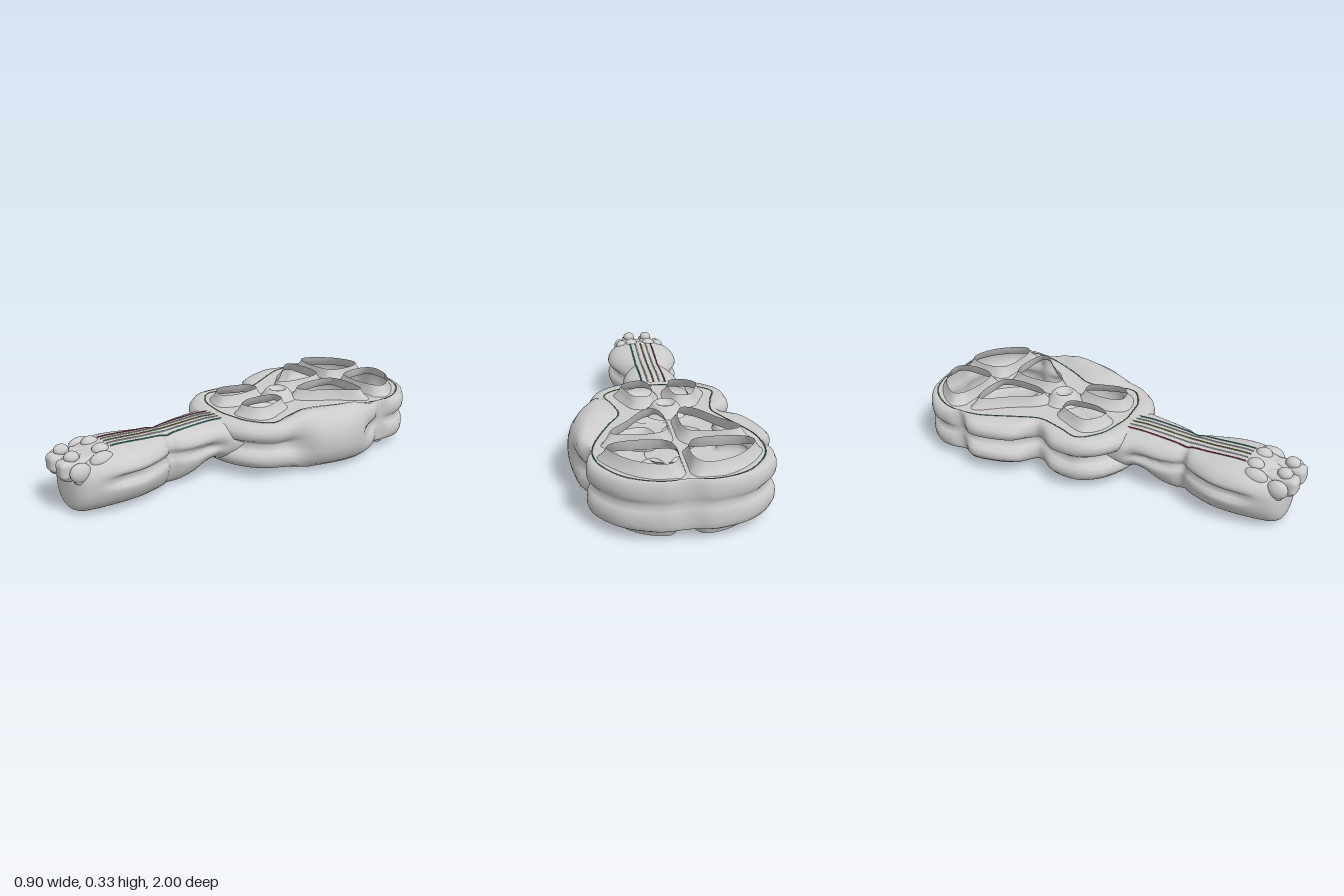
import * as THREE from 'three';
import { RoundedBoxGeometry } from 'three/addons/geometries/RoundedBoxGeometry.js';

const CX = -0.02, MID = 0.1625;
const V = (x, y, z) => new THREE.Vector3(x, y, z);
const { lerp, smoothstep, clamp } = THREE.MathUtils;
const grey = new THREE.MeshStandardMaterial({ color: 0xcccccc, side: THREE.DoubleSide });

function add(parent, name, geometry, material = grey) {
  const mesh = new THREE.Mesh(geometry, material);
  mesh.name = name;
  parent.add(mesh);
  return mesh;
}

// Skin a list of closed rings, each with the same number of points
function loft(rings) {
  const n = rings[0].length, index = [];
  for (let i = 0; i < rings.length - 1; i++) {
    for (let j = 0; j < n; j++) {
      const a = i * n + j, b = i * n + (j + 1) % n;
      index.push(a, a + n, b, b, a + n, b + n);
    }
  }
  const g = new THREE.BufferGeometry().setFromPoints(rings.flat());
  g.setIndex(index);
  g.computeVertexNormals();
  return g;
}

const ring = (pts, n) => {
  const c = new THREE.CatmullRomCurve3(pts.map(([x, z]) => V(x, 0, z)), true);
  return Array.from({ length: n }, (_, i) => c.getPoint(i / n));
};

// Body edge, as [outer x, outer z, crest x, crest z], clockwise from the back
const EDGE = [
  [-0.02, -0.985, -0.02, -0.975], [0.08, -1.0, 0.1, -0.98], [0.25, -0.95, 0.23, -0.925], [0.365, -0.82, 0.32, -0.81],
  [0.375, -0.73, 0.345, -0.72], [0.352, -0.665, 0.345, -0.665], [0.41, -0.57, 0.32, -0.56],
  [0.445, -0.4, 0.255, -0.4], [0.42, -0.24, 0.2, -0.28], [0.35, -0.12, 0.225, -0.14], [0.31, 0, 0.25, -0.03],
  [0.25, 0.09, 0.15, 0.055], [0.13, 0.16, 0.06, 0.075], [-0.02, 0.18, -0.02, 0.085], [-0.17, 0.16, -0.1, 0.075],
  [-0.29, 0.09, -0.19, 0.055], [-0.345, 0, -0.29, -0.03], [-0.355, -0.14, -0.265, -0.14], [-0.285, -0.27, -0.24, -0.28],
  [-0.39, -0.34, -0.28, -0.38], [-0.44, -0.46, -0.33, -0.48], [-0.45, -0.57, -0.37, -0.57], [-0.392, -0.665, -0.385, -0.665],
  [-0.42, -0.73, -0.385, -0.72], [-0.41, -0.82, -0.36, -0.81], [-0.29, -0.95, -0.27, -0.925], [-0.12, -1.0, -0.14, -0.98],
];
// Upper half of the edge section as [reach, y]: two stacked lobes, or one big lobe
const DOUBLE = [[0, .272], [.35, .276], [.75, .268], [.96, .246], [1, .224], [.93, .2], [.65, .184], [.25, MID]];
const SINGLE = [[0, .272], [.25, .3], [.45, .313], [.65, .305], [.82, .28], [.93, .242], [.98, .205], [1, MID]];

// Openings on the left half as [x, z]; mirrored for the other half
const HOLES = [
  [[-0.05, -0.88], [-0.09, -0.935], [-0.2, -0.91], [-0.29, -0.83], [-0.33, -0.75], [-0.29, -0.71], [-0.09, -0.71], [-0.055, -0.75]],
  [[-0.28, -0.63], [-0.09, -0.63], [-0.057, -0.58], [-0.057, -0.42], [-0.09, -0.36], [-0.14, -0.38], [-0.22, -0.49], [-0.305, -0.6]],
  [[-0.15, -0.2], [-0.09, -0.2], [-0.068, -0.14], [-0.068, -0.04], [-0.1, 0.015], [-0.17, 0], [-0.205, -0.045], [-0.185, -0.13]],
];

function buildBody(body) {
  const N = 216;
  const outer = ring(EDGE.map(e => [e[0], e[1]]), N);
  const crest = ring(EDGE.map(e => [e[2], e[3]]), N);
  const rings = [];
  for (let k = 0; k < 15; k++) {
    const i = k < 8 ? k : 14 - k;
    rings.push(outer.map((o, j) => {
      const w = o.x > 0 ? smoothstep(o.z, -0.66, -0.45) * (1 - smoothstep(o.z, -0.2, 0)) : 0;
      const y = lerp(DOUBLE[i][1], SINGLE[i][1], w);
      return crest[j].clone().lerp(o, lerp(DOUBLE[i][0], SINGLE[i][0], w)).setY(k < 8 ? y : 2 * MID - y);
    }));
  }
  add(body, 'bodyEdge', loft(rings));

  // Pierced face with a lip sloping up to each opening, kept clear of the rib lines
  const to2 = p => new THREE.Vector2(p.x, -p.z);
  const shape = new THREE.Shape(crest.map(to2));
  const lips = [];
  HOLES.forEach((hole, h) => {
    for (const side of [-1, 1]) {
      const rim = ring(hole.map(([x, z]) => [side < 0 ? x : 2 * CX - x, z]), 48);
      const c = rim.reduce((s, p) => s.add(p), V(0, 0, 0)).divideScalar(rim.length);
      const size = new THREE.Box3().setFromPoints(rim).getSize(V(0, 0, 0));
      const foot = rim.map(p => {
        const x = c.x + (p.x - c.x) * (1 + 0.07 / size.x), z = c.z + (p.z - c.z) * (1 + 0.07 / size.z);
        return V(CX + side * Math.max(0.008, side * (x - CX)), 0.272,
          h === 0 ? clamp(z, -0.964, -0.685) : Math.max(z, -0.655));
      });
      shape.holes.push(new THREE.Path(foot.map(to2)));
      lips.push(loft([[0, .272], [.4, .287], [.75, .305], [1, .325]].map(([t, y]) =>
        foot.map((p, i) => p.clone().lerp(rim[i], t).setY(y)))));
    }
  });
  const sheet = new THREE.ShapeGeometry(shape).rotateX(-Math.PI / 2).translate(0, 0.272, 0);

  // Round boss where the ribs cross
  const bossProfile = [[0.1, .27], [0.08, .288], [0.063, .313], [0.052, .323], [0.042, .321], [0.035, .305], [0, .3]];
  const boss = new THREE.LatheGeometry(bossProfile.map(p => new THREE.Vector2(...p)), 32).translate(CX, 0, -0.285);

  for (const name of ['topFace', 'bottomFace']) {
    const face = new THREE.Group();
    face.name = name;
    if (name === 'bottomFace') { face.scale.y = -1; face.position.y = 2 * MID; }
    add(face, 'piercedSheet', sheet);
    lips.forEach(g => add(face, 'openingLip', g));
    add(face, 'centreBoss', boss);
    body.add(face);
  }

  // Fine crease line around the crest
  const line = new THREE.CatmullRomCurve3(crest.filter((_, i) => i % 3 === 0).map(p => V(p.x, 0.272, p.z)), true);
  add(body, 'creaseLine', new THREE.TubeGeometry(line, 200, 0.003, 5, true),
    new THREE.MeshStandardMaterial({ color: 0x3f7a45 }));
}

// Neck sections as [z, half width, bottom y, top y]
const NECK = [
  [0.08, 0.18, .055, .27], [0.15, 0.175, .06, .274], [0.2, 0.155, .075, .278], [0.26, 0.148, .062, .278],
  [0.33, 0.145, .025, .276], [0.4, 0.128, .005, .274], [0.45, 0.1, 0, .273], [0.49, 0.135, 0, .275],
  [0.56, 0.17, 0, .277], [0.64, 0.195, 0, .283], [0.72, 0.198, 0, .288], [0.8, 0.185, 0, .285],
  [0.86, 0.165, 0, .27], [0.91, 0.14, .004, .25], [0.94, 0.1, .02, .215], [0.952, 0.05, .06, .18], [0.954, 0.001, .12, .13],
];
const neckWidth = new THREE.CatmullRomCurve3(NECK.map(([z, w]) => V(w, 0, z)));
const neckHeight = new THREE.CatmullRomCurve3(NECK.map(([z, , b, t]) => V(b, t, z)));

// Neck ring at u: full shoulders on top, rounder below, a groove along each side
function neckRing(u) {
  const { x: w, z } = neckWidth.getPoint(u), { x: low, y: high } = neckHeight.getPoint(u);
  const mid = lerp(low, high, 0.6);
  const depth = 0.22 * smoothstep(z, 0.14, 0.25) * (1 - smoothstep(z, 0.72, 0.88));
  return Array.from({ length: 72 }, (_, j) => {
    const c = Math.cos(j / 36 * Math.PI), s = Math.sin(j / 36 * Math.PI);
    const y = s > 0 ? mid + (high - mid) * s ** 0.72 : mid - (mid - low) * Math.abs(s) ** 0.88;
    const pinch = 1 - depth * Math.exp(-(((y - 0.168) / 0.02) ** 2));
    return V(CX + w * pinch * Math.sign(c) * Math.abs(c) ** 0.85, y, z);
  });
}

export function createModel() {
  const model = new THREE.Group();
  model.name = 'model';
  const body = new THREE.Group();
  body.name = 'body';
  model.add(body);
  buildBody(body);

  // Bulging neck
  const rings = Array.from({ length: 97 }, (_, i) => neckRing(i / 96));
  add(model, 'neck', loft(rings));

  // Slim ridges lying on top of the neck
  [[-0.06, 0x8a3a48], [-0.03, 0xcccccc], [0, 0x8f8a4a], [0.03, 0xcccccc], [0.06, 0x3a8580]].forEach(([x, color]) => {
    const pts = rings.filter(r => r[0].z > 0.1 && r[0].z < 0.75).map(r => {
      const k = r.findIndex((p, j) => j < 36 && p.x <= CX + x);
      const t = (CX + x - r[k].x) / (r[k - 1].x - r[k].x);
      return r[k].clone().lerp(r[k - 1], t);
    });
    add(model, 'neckRidge', new THREE.TubeGeometry(new THREE.CatmullRomCurve3(pts), 60, 0.004, 6),
      new THREE.MeshStandardMaterial({ color }));
  });

  // Lumpy head: a pair of rounded blocks with mirrored knobs [offset x, y, z, radius x, y, z]
  const KNOBS = [
    [0.05, .277, .93, .032, .027, .035], [0.05, .277, .79, .036, .029, .04], [0.05, .195, .95, .036, .025, .04],
    [0.108, .22, .92, .032, .045, .05], [0.105, .25, .81, .035, .04, .06], [0.095, .185, .92, .03, .025, .03],
  ];
  const head = new THREE.Group();
  head.name = 'head';
  const ball = new THREE.SphereGeometry(1, 24, 16);
  const block = new RoundedBoxGeometry(0.08, 0.085, 0.25, 4, 0.025);
  add(head, 'headCore', new RoundedBoxGeometry(0.17, 0.07, 0.22, 4, 0.03)).position.set(CX, 0.225, 0.85);
  for (const side of [-1, 1]) {
    add(head, 'headBlock', block).position.set(CX + side * 0.05, 0.228, 0.872);
    for (const [x, y, z, rx, ry, rz] of KNOBS) {
      const knob = add(head, 'headKnob', ball);
      knob.position.set(CX + side * x, y, z);
      knob.scale.set(rx, ry, rz);
    }
  }
  model.add(head);
  return model;
}
